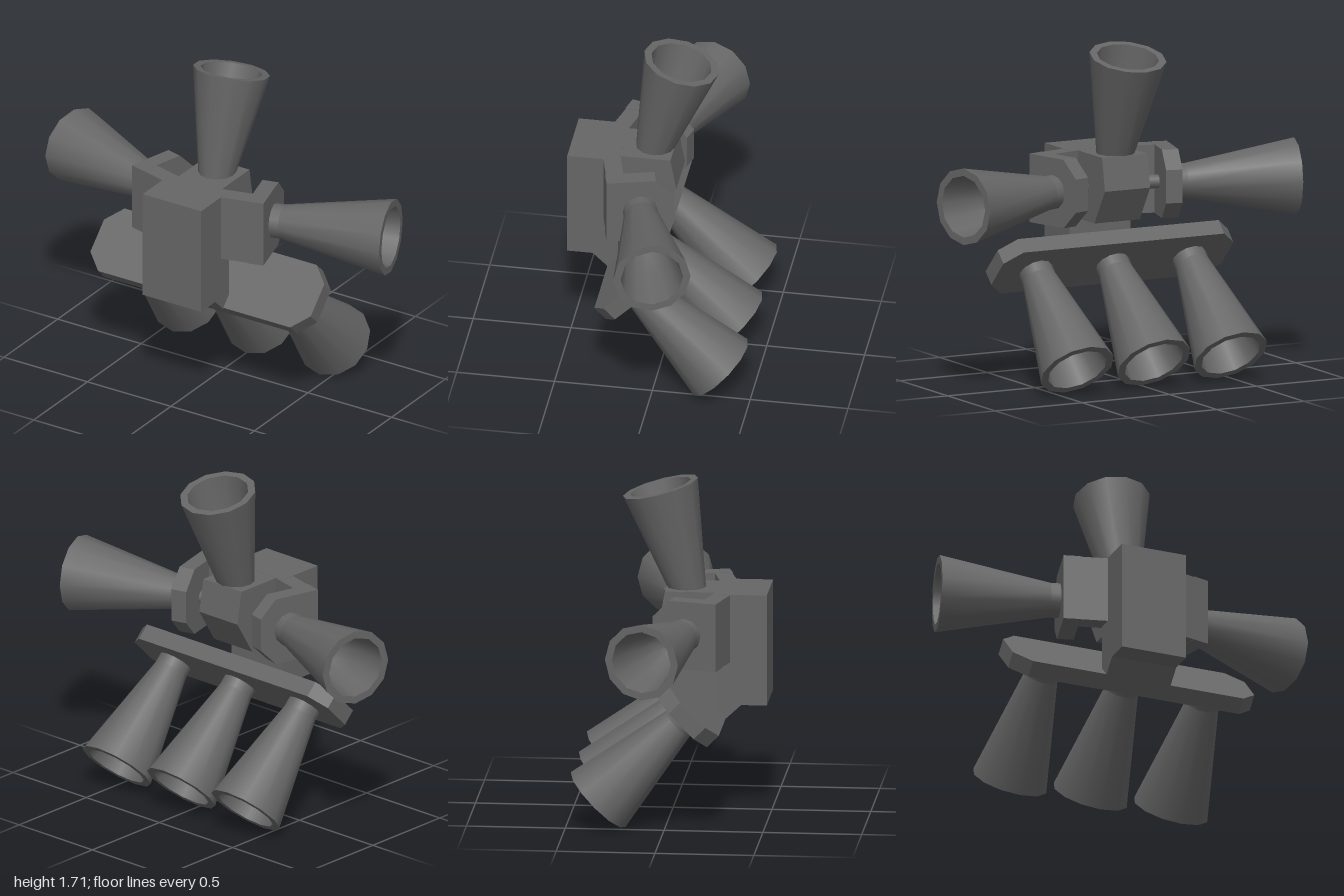
import * as THREE from 'three';
import { mergeGeometries } from 'three/addons/utils/BufferGeometryUtils.js';

const darkGrey = new THREE.MeshStandardMaterial({ color: 0x666666 });
const V = (x, y) => new THREE.Vector2(x, y);
const deg = THREE.MathUtils.degToRad;

function add(parent, name, geometry) {
  const mesh = new THREE.Mesh(geometry, darkGrey);
  mesh.name = name;
  parent.add(mesh);
  return mesh;
}

// Straight-sided prism from a list of outline points
function prism(points, depth) {
  const shape = new THREE.Shape(points.map(([x, y]) => V(x, y)));
  return new THREE.ExtrudeGeometry(shape, { depth, bevelEnabled: false });
}

// Hollow twelve-sided bell along +y: outer wall, flat rim and inner wall
function nozzleGeometry() {
  const walls = [
    [V(0.088, -0.01), V(0.088, 0.05)],
    [V(0.088, 0.05), V(0.196, 0.62)],
    [V(0.196, 0.62), V(0.158, 0.62)],
    [V(0.158, 0.62), V(0.125, 0.42), V(0.075, 0.2), V(0, 0.16)],
  ];
  return mergeGeometries(walls.map((w) => new THREE.LatheGeometry(w, 12)));
}

// Plate lying under y = 0, with its -z corners (and optionally +z corners) cut
function plateGeometry(w, l, cut, cutFront) {
  const f = cutFront ? cut : 0;
  const pts = [[-w + cut, -l], [w - cut, -l], [w, -l + cut]];
  if (f) pts.push([w, l - f], [w - f, l], [-w + f, l], [-w, l - f]);
  else pts.push([w, l], [-w, l]);
  pts.push([-w, -l + cut]);
  return prism(pts, 0.085).rotateX(Math.PI / 2);
}

export function createModel() {
  const model = new THREE.Group();
  model.name = 'thrusterCluster';
  const nozzle = nozzleGeometry();

  // Front housing with a slanted foot, extruded along x from a (z, y) profile
  const housing = prism([
    [0.49, 1.15], [0.23, 1.15], [0.23, 0.565], [0.285, 0.51], [0.36, 0.58], [0.49, 0.58],
  ], 0.35);
  housing.rotateY(-Math.PI / 2).translate(0.175, 0, 0);
  add(model, 'housing', housing);

  // Rear block carrying the upper nozzle
  const block = prism([
    [0.24, 1.149], [-0.03, 1.149], [-0.06, 0.98], [0.05, 0.801], [0.24, 0.801],
  ], 0.26);
  block.rotateY(-Math.PI / 2).translate(0.13, 0, 0);
  add(model, 'rearBlock', block);

  // Swept arms
  const arms = prism([
    [-0.385, 0.25], [-0.365, 0.165], [-0.13, 0.225], [0.13, 0.225],
    [0.365, 0.165], [0.385, 0.25], [0.175, 0.305], [-0.175, 0.305],
  ], 0.348);
  arms.rotateX(Math.PI / 2).translate(0, 1.149, 0);
  add(model, 'arms', arms);

  // Upper nozzle
  const top = add(model, 'upperNozzle', nozzle);
  top.position.set(0, 1.061, 0.096);
  top.rotation.x = deg(-15);

  // Side mounts: plate, nozzle and connecting rod
  for (const s of [1, -1]) {
    const side = new THREE.Group();
    side.name = s > 0 ? 'leftMount' : 'rightMount';
    side.position.set(s * 0.35, 0.975, 0.087);
    side.rotation.set(0, s * deg(15), -s * Math.PI / 2);
    add(side, 'sidePlate', plateGeometry(0.175, 0.17, 0.09, false));
    add(side, 'sideNozzle', nozzle);
    const rod = add(side, 'rod', new THREE.CylinderGeometry(0.035, 0.035, 0.26, 12));
    rod.position.y = -0.17;
    model.add(side);
  }

  // Lower mount: tilted plate with three nozzles
  const lower = new THREE.Group();
  lower.name = 'lowerMount';
  lower.position.set(0, 0.578, 0.1);
  lower.rotation.x = deg(-135);
  add(lower, 'lowerPlate', plateGeometry(0.66, 0.175, 0.085, true));
  for (const x of [-0.44, 0, 0.44]) add(lower, 'lowerNozzle', nozzle).position.x = x;
  model.add(lower);

  return model;
}
